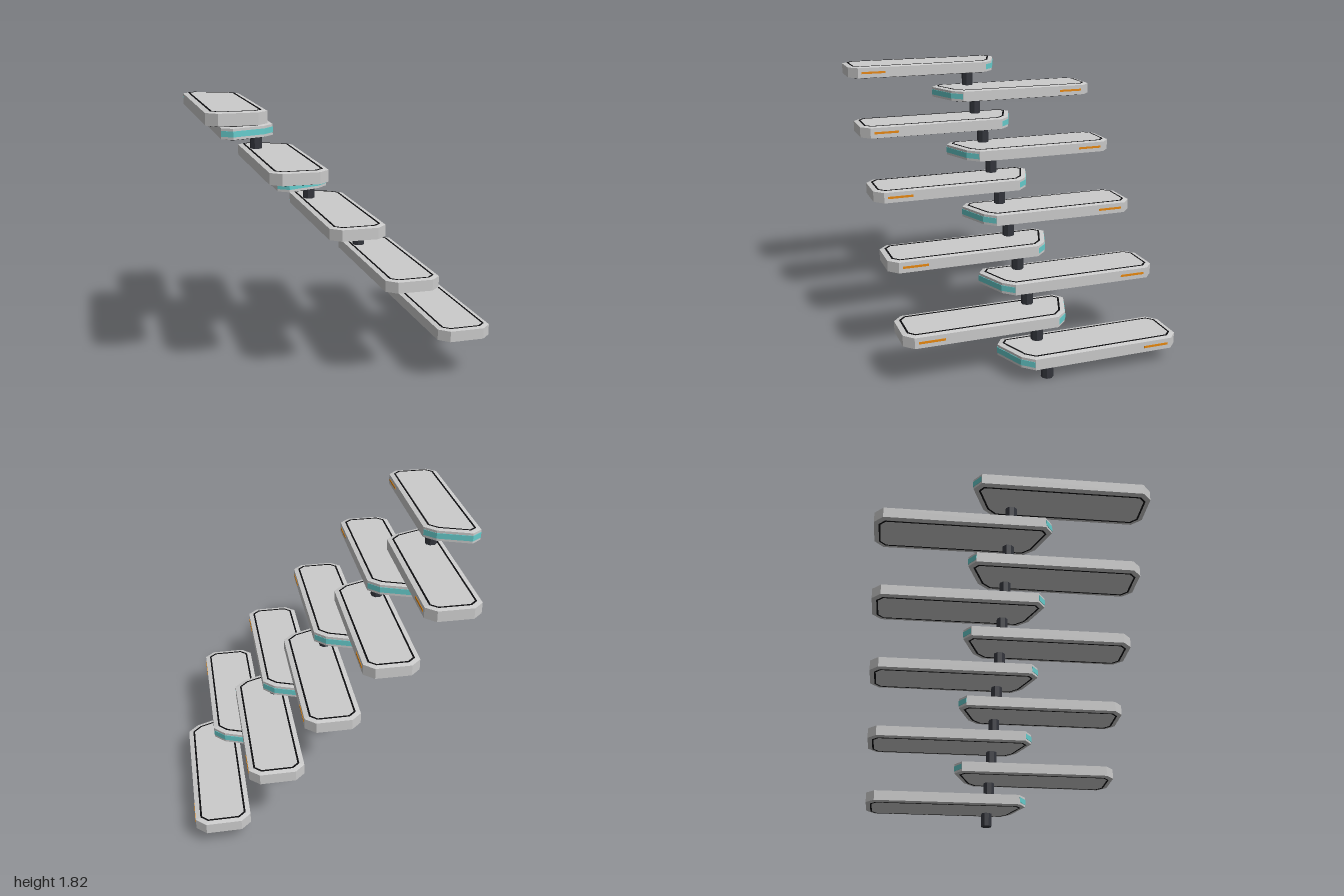
import * as THREE from 'three';

const COUNT = 10;
const RISE = 0.182;    // height between steps
const RUN = 0.1822;    // sideways shift between steps
const THICK = 0.084;
const GAP = 0.098;     // clear height under each step

const mat = (color, extra = {}) => new THREE.MeshStandardMaterial({ color, flatShading: true, ...extra });
const grey = mat(0xcccccc);
const black = mat(0x0c0c0e);
const dark = mat(0x33353c);
const teal = mat(0x66cccc);
const orange = mat(0xe6870f);

// Step outline in plan (x, z): slanted inner end, chamfered outer end
const OUTLINE = [
  [-0.18, -0.22], [-0.11, -0.27], [0.11, -0.187], [0.18, -0.115],
  [0.18, 0.845], [0.115, 0.905], [-0.115, 0.905], [-0.18, 0.845],
].map(([x, z]) => new THREE.Vector2(x, z));

// Moves every edge of a counter-clockwise convex polygon inwards by d
function inset(points, d) {
  const n = points.length;
  return points.map((p, i) => {
    const a = p.clone().sub(points[(i + n - 1) % n]).normalize();
    const b = points[(i + 1) % n].clone().sub(p).normalize();
    const na = new THREE.Vector2(-a.y, a.x);
    const nb = new THREE.Vector2(-b.y, b.x);
    return na.clone().add(nb).multiplyScalar(d / (1 + na.dot(nb))).add(p);
  });
}

// Extrudes a plan outline vertically, centred on y = 0; side = -1 mirrors it in z
function slab(points, height, side, hole = null, bevel = null) {
  const flip = (list) => list.map((p) => new THREE.Vector2(p.x, p.y * side));
  const shape = new THREE.Shape(flip(points));
  if (hole) shape.holes.push(new THREE.Path(flip(hole)));
  const b = bevel ? bevel.height : 0;
  const geometry = new THREE.ExtrudeGeometry(shape, {
    depth: height - 2 * b,
    bevelEnabled: !!bevel,
    bevelThickness: b,
    bevelSize: bevel ? bevel.width : 0,
    bevelOffset: bevel ? -bevel.width : 0,
    bevelSegments: 1,
  });
  geometry.translate(0, 0, b - height / 2);
  return geometry.rotateX(Math.PI / 2);
}

function add(parent, name, geometry, material, x = 0, y = 0, z = 0) {
  const mesh = new THREE.Mesh(geometry, material);
  mesh.name = name;
  mesh.position.set(x, y, z);
  parent.add(mesh);
  return mesh;
}

function createStep(side) {
  const step = new THREE.Group();
  // Tread with a shallow bevelled rim
  add(step, 'tread', slab(OUTLINE, THICK, side, null, { width: 0.03, height: 0.006 }), grey);
  // Black line round the top and bottom faces
  add(step, 'inlayLine', slab(inset(OUTLINE, 0.031), THICK + 0.003, side, inset(OUTLINE, 0.043)), black);
  // Teal band wrapped round the slanted inner end
  const end = OUTLINE.slice(0, 4).map((p) => new THREE.Vector2(p.x, p.y - 0.004));
  add(step, 'endBand', slab(end, 0.038, side), teal);
  // Orange marker on the left edge near the outer end
  add(step, 'sideMarker', new THREE.BoxGeometry(0.006, 0.015, 0.172), orange, 0.18, 0, 0.733 * side);
  return step;
}

export function createModel() {
  const model = new THREE.Group();
  model.name = 'staircase';

  // Octagonal post with flat faces towards the axes
  const post = new THREE.CylinderGeometry(0.0405, 0.0405, GAP + 0.02, 8).rotateY(Math.PI / 8);
  const foot = new THREE.CylinderGeometry(0.0405, 0.0405, GAP + 0.01, 8).rotateY(Math.PI / 8);

  // Steps climb towards -x and alternate between back and front
  for (let i = 0; i < COUNT; i++) {
    const x = (COUNT / 2 - 0.5 - i) * RUN;
    const y = i * RISE;
    const step = createStep(i % 2 ? 1 : -1);
    step.name = `step${i + 1}`;
    step.position.set(x, y + GAP + THICK / 2, 0);
    model.add(step);
    if (i === 0) add(model, 'footPost', foot, dark, x + 0.0875, (GAP + 0.01) / 2, 0);
    else add(model, `post${i + 1}`, post, dark, x + 0.0875, y + GAP / 2, 0);
  }
  return model;
}
